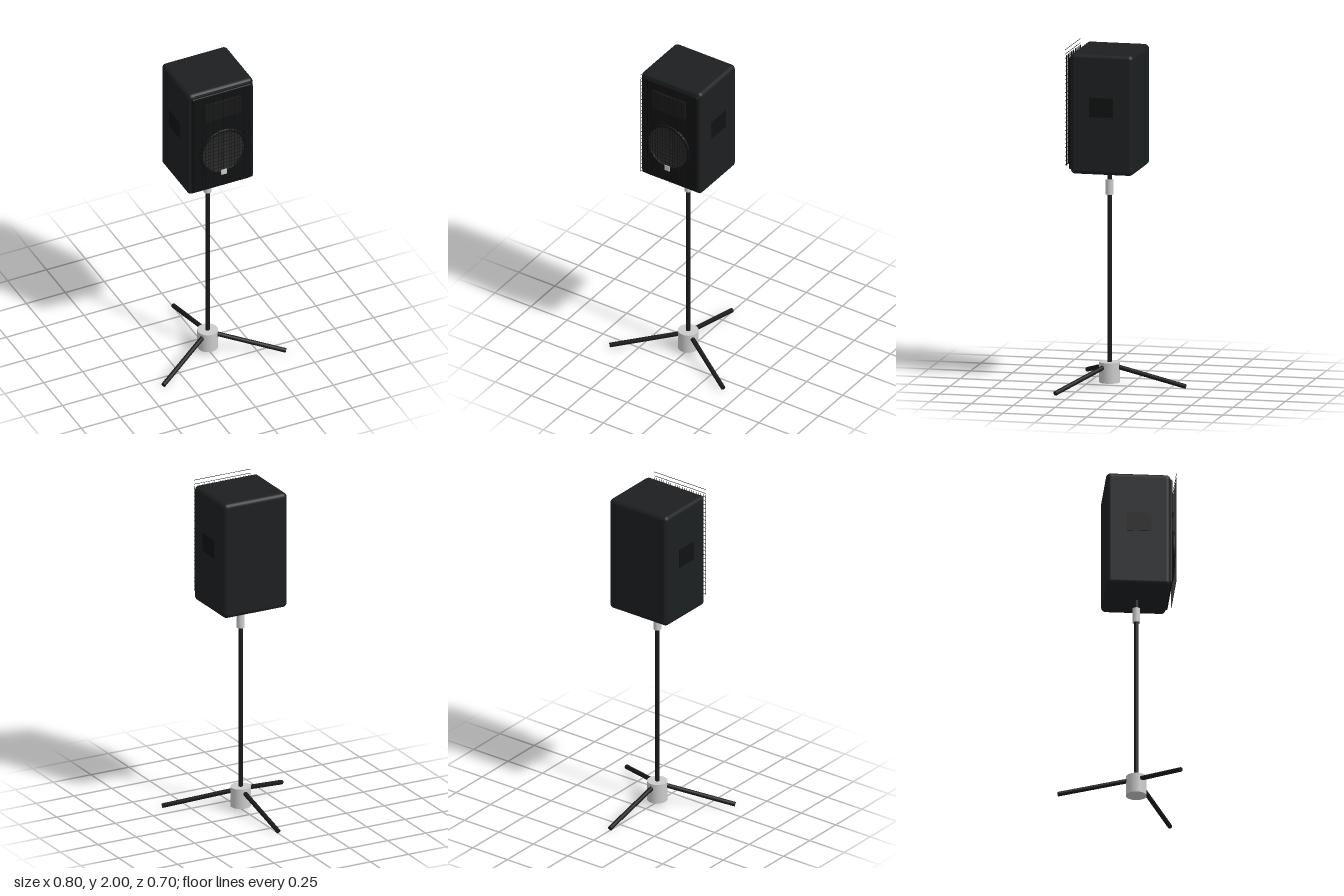
import * as THREE from 'three';
import { RoundedBoxGeometry } from 'three/addons/geometries/RoundedBoxGeometry.js';

const paint = (color) => new THREE.MeshStandardMaterial({ color });

export function createModel() {
  const model = new THREE.Group();
  const shell = paint(0x1c1f21);
  const black = paint(0x101112);
  const steel = paint(0x1a1a1a);
  const grey = paint(0xcccccc);
  const axisZ = 0.11;

  const add = (name, geometry, material, x, y, z, parent = model) => {
    const mesh = new THREE.Mesh(geometry, material);
    mesh.name = name;
    mesh.position.set(x, y, z);
    parent.add(mesh);
    return mesh;
  };

  // Cylinder between two points
  const rod = (name, a, b, radius, material) => {
    const dir = b.clone().sub(a);
    const mid = a.clone().add(b).multiplyScalar(0.5);
    const mesh = add(name, new THREE.CylinderGeometry(radius, radius, dir.length(), 24), material, mid.x, mid.y, mid.z);
    mesh.quaternion.setFromUnitVectors(new THREE.Vector3(0, 1, 0), dir.normalize());
    return mesh;
  };

  // Cabinet with front baffle
  add('cabinet', new RoundedBoxGeometry(0.42, 0.71, 0.375, 5, 0.027), shell, 0, 1.63, 0.1075);
  add('baffle', new RoundedBoxGeometry(0.384, 0.66, 0.024, 3, 0.008), black, 0, 1.63, 0.294);

  // Tweeter horn
  add('horn', new THREE.BoxGeometry(0.23, 0.12, 0.02), steel, 0, 1.845, 0.309);

  // Woofer: surround ring and shallow dished cone
  const surround = add('wooferSurround', new THREE.TorusGeometry(0.142, 0.01, 16, 64), black, 0, 1.55, 0.317);
  surround.scale.z = 0.95;
  const coneProfile = [[0, 0.006], [0.025, 0.005], [0.045, 0.001], [0.13, 0.012], [0.142, 0.012]]
    .map(([r, h]) => new THREE.Vector2(r, h));
  const coneMaterial = paint(0x2a2a2a);
  coneMaterial.side = THREE.DoubleSide;
  const cone = add('wooferCone', new THREE.LatheGeometry(coneProfile, 64), coneMaterial, 0, 1.55, 0.307);
  cone.rotation.x = Math.PI / 2;

  // Wire grille
  const grille = new THREE.Group();
  grille.name = 'grille';
  model.add(grille);
  const across = new THREE.BoxGeometry(0.374, 0.002, 0.002);
  const upright = new THREE.BoxGeometry(0.002, 0.65, 0.002);
  for (let i = 0; i < 28; i++) add('grilleWireAcross', across, black, 0, 1.322 + i * 0.0251, 0.329, grille);
  for (let i = 0; i < 23; i++) add('grilleWireUpright', upright, black, -0.186 + i * 0.0169, 1.64, 0.327, grille);

  // Blank badge plate
  add('badge', new THREE.BoxGeometry(0.036, 0.034, 0.004), grey, 0, 1.41, 0.331);

  // Side handles
  for (const side of [-1, 1]) {
    add('sideHandle', new THREE.BoxGeometry(0.012, 0.115, 0.142), black, side * 0.208, 1.673, axisZ);
  }

  // Stand pole, clamp collar and hub
  add('pole', new THREE.CylinderGeometry(0.013, 0.013, 1.165, 24), steel, 0, 0.6825, axisZ);
  add('collar', new THREE.CylinderGeometry(0.023, 0.023, 0.088, 32), grey, 0, 1.17, axisZ);
  add('hub', new THREE.CylinderGeometry(0.06, 0.06, 0.12, 40), grey, 0, 0.08, axisZ);

  // Tripod legs: one to the back, two to the front
  for (let i = 0; i < 3; i++) {
    const angle = Math.PI + (i * Math.PI * 2) / 3;
    const at = (r, y) => new THREE.Vector3(Math.sin(angle) * r, y, axisZ + Math.cos(angle) * r);
    rod('leg', at(0.045, 0.114), at(0.455, 0.0135), 0.0135, steel);
  }

  return model;
}
